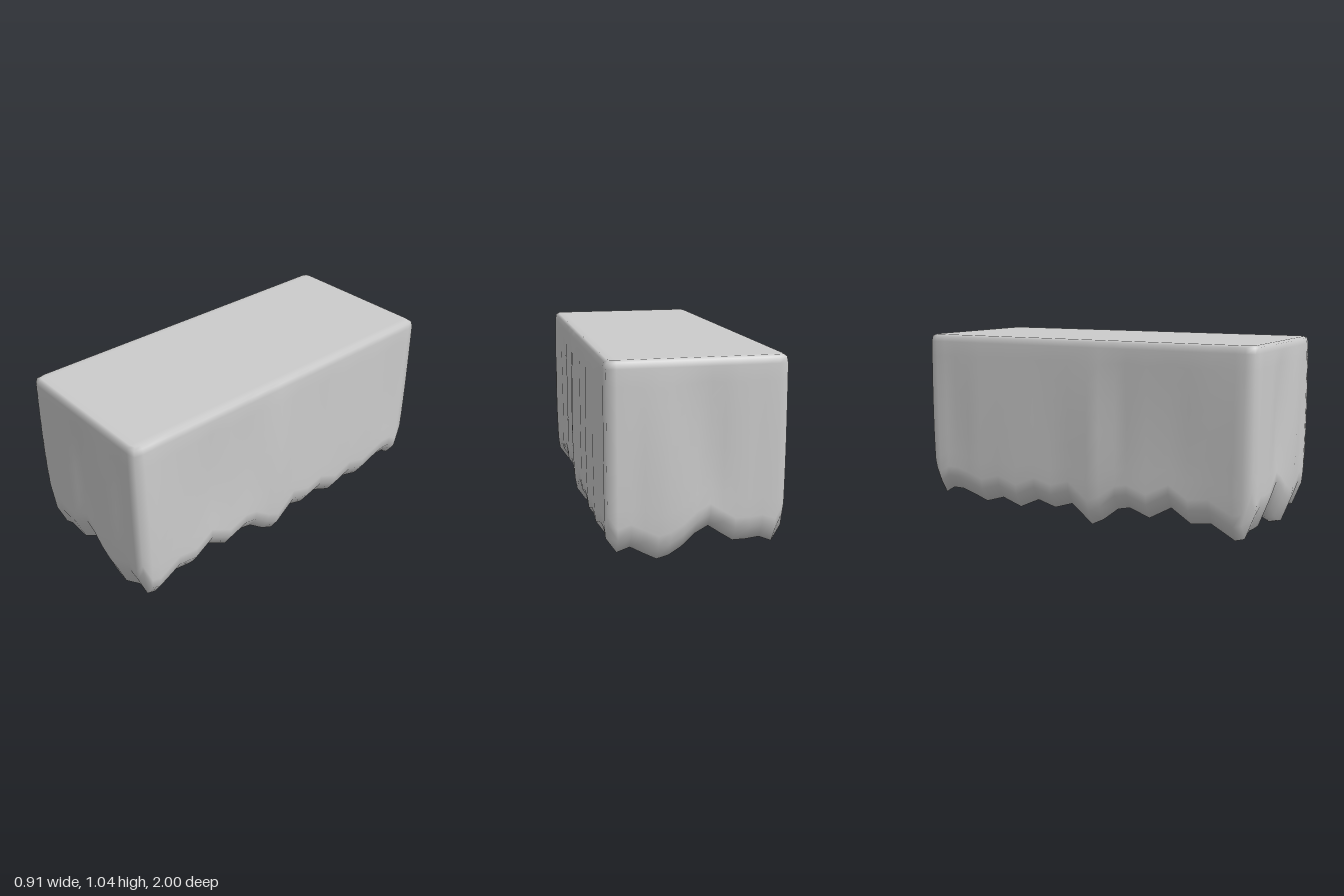
import * as THREE from 'three';
import { mergeVertices } from 'three/addons/utils/BufferGeometryUtils.js';

// Underside height across the width and along the length: [position, height]
const across = [
  [-0.44, 0.13], [-0.39, 0.05], [-0.325, 0.077], [-0.26, 0.07], [-0.19, 0.07], [-0.13, 0.11],
  [-0.065, 0.155], [0, 0.12], [0.065, 0.06], [0.13, 0.02], [0.19, 0.005], [0.255, 0.04],
  [0.32, 0.077], [0.385, 0.055], [0.44, 0.13],
];
const along = [
  [-0.985, 0.14], [-0.935, 0.065], [-0.88, 0.1], [-0.81, 0.1], [-0.725, 0.075], [-0.64, 0.045],
  [-0.525, 0.08], [-0.405, 0.04], [-0.285, 0.095], [-0.175, 0.065], [-0.065, 0.1], [0.06, 0],
  [0.13, 0.035], [0.22, 0.105], [0.29, 0.12], [0.405, 0.08], [0.53, 0.15], [0.64, 0.08],
  [0.75, 0.095], [0.88, 0.025], [0.93, 0.04], [0.985, 0.17],
];

const TOP = 1.05, SHOULDER = 1.01;
const wallSteps = [0, 0.07, 0.18, 0.32, 0.48, 0.64, 0.78, 0.9, 1];
const rimSteps = [[1.04, 0.005], [TOP, 0.02]]; // height, inset

// Walls swell where the underside hangs low and sink in where it is high
function ripple(profile, i) {
  const k = THREE.MathUtils.clamp(i, 1, profile.length - 2);
  return 0.016 - 0.22 * profile[k][1];
}

function createBlock() {
  const nx = across.length - 1, nz = along.length - 1;
  const nWall = wallSteps.length - 1, ny = nWall + rimSteps.length;
  let geo = new THREE.BoxGeometry(1, 1, 1, nx, ny, nz);
  const p = geo.attributes.position;

  for (let v = 0; v < p.count; v++) {
    const i = Math.round((p.getX(v) + 0.5) * nx);
    const j = Math.round((p.getY(v) + 0.5) * ny);
    const k = Math.round((p.getZ(v) + 0.5) * nz);
    let x = across[i][0], z = along[k][0];
    const bottom = across[i][1] + along[k][1];

    // Vertical placement, plus how far the walls swell or taper here
    let y, inset = 0, swell = 0;
    if (j <= nWall) {
      const t = wallSteps[j];
      y = THREE.MathUtils.lerp(bottom, SHOULDER, t);
      swell = Math.sin(Math.PI * Math.pow(t, 0.8));
      inset = j === 0 ? 0.004 : 0;
    } else {
      [y, inset] = rimSteps[j - nWall - 1];
    }

    // Only the outermost rows form the walls; the four corners are softened
    const sideX = i === 0 || i === nx, sideZ = k === 0 || k === nz;
    const corner = sideX && sideZ ? 0.008 : 0;
    if (sideX) x += Math.sign(x) * (swell * ripple(along, k) - inset - corner);
    if (sideZ) z += Math.sign(z) * (swell * ripple(across, i) - inset - corner);
    p.setXYZ(v, x, y, z);
  }

  // Weld the six faces so that the shading flows round the edges
  geo.deleteAttribute('uv');
  geo.deleteAttribute('normal');
  geo = mergeVertices(geo, 1e-5);
  geo.computeVertexNormals();
  return geo;
}

export function createModel() {
  const model = new THREE.Group();
  model.name = 'hangingRockPlatform';
  const block = new THREE.Mesh(createBlock(), new THREE.MeshStandardMaterial({ color: 0xcccccc }));
  block.name = 'rockBlock';
  model.add(block);
  return model;
}
